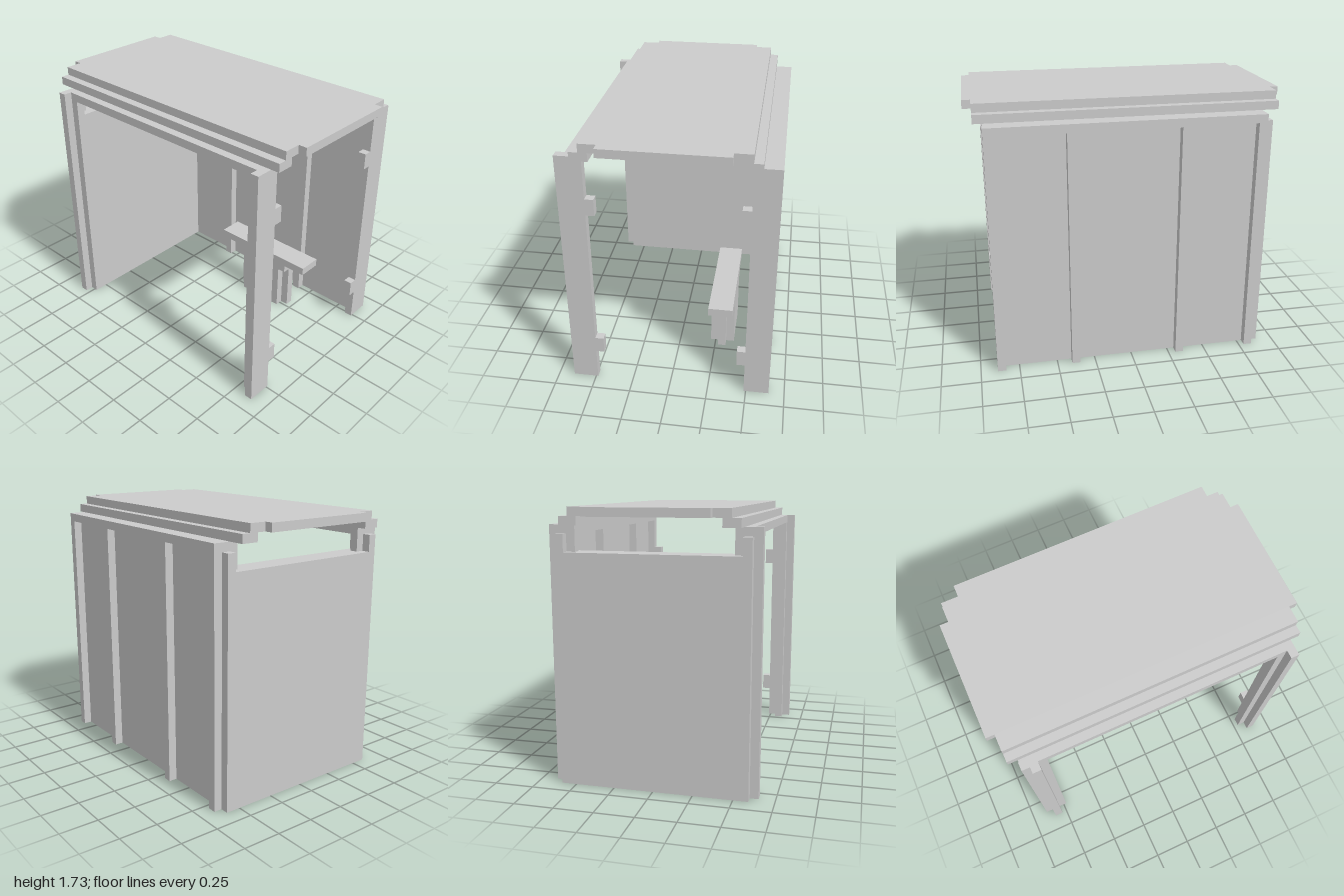
import * as THREE from 'three';

// Everything sits on a regular grid of this step
const U = 2 / 37;
const material = new THREE.MeshStandardMaterial({ color: 0xcccccc, flatShading: true });

// Box from its limits in grid steps
function block(parent, name, [x0, x1], [y0, y1], [z0, z1]) {
  const mesh = new THREE.Mesh(
    new THREE.BoxGeometry((x1 - x0) * U, (y1 - y0) * U, (z1 - z0) * U), material);
  mesh.position.set((x0 + x1) / 2 * U, (y0 + y1) / 2 * U, (z0 + z1) / 2 * U);
  mesh.name = name;
  parent.add(mesh);
}

// Upright prism over a rectangle whose four corners are notched by cx, cz
function notchedSlab(parent, name, [x0, x1], [y0, y1], [z0, z1], cx, cz) {
  const outline = [
    [x0 + cx, z0], [x1 - cx, z0], [x1 - cx, z0 + cz], [x1, z0 + cz],
    [x1, z1 - cz], [x1 - cx, z1 - cz], [x1 - cx, z1], [x0 + cx, z1],
    [x0 + cx, z1 - cz], [x0, z1 - cz], [x0, z0 + cz], [x0 + cx, z0 + cz],
  ];
  const shape = new THREE.Shape(outline.map(([x, z]) => new THREE.Vector2(x * U, -z * U)));
  const geometry = new THREE.ExtrudeGeometry(shape, { depth: (y1 - y0) * U, bevelEnabled: false });
  geometry.rotateX(-Math.PI / 2);
  geometry.translate(0, y0 * U, 0);
  const mesh = new THREE.Mesh(geometry, material);
  mesh.name = name;
  parent.add(mesh);
}

function group(parent, name) {
  const g = new THREE.Group();
  g.name = name;
  parent.add(g);
  return g;
}

export function createModel() {
  const model = new THREE.Group();
  model.name = 'shelter';

  // Roof slab with notched corners, carried by two long rails
  const roof = group(model, 'roof');
  notchedSlab(roof, 'roofSlab', [-18.5, 18.5], [31, 32], [-9, 9], 1, 2);
  block(roof, 'frontRail', [-17.5, 17.5], [30, 31], [8, 10]);
  block(roof, 'backRail', [-17.5, 17.5], [30, 31], [-10, -8]);

  // Corner posts
  const posts = group(model, 'cornerPosts');
  for (const z of [[9, 12], [-12, -9]]) {
    block(posts, 'rightPost', [-15.5, -14.5], [0, 30], z);
    block(posts, 'leftPost', [15.5, 16.5], [0, 30], z);
  }

  // Hinge tabs on the posts of the open side
  for (const y of [[4, 6], [23, 25]]) {
    block(posts, 'frontTab', [15.5, 16.5], y, [8, 9]);
    block(posts, 'backTab', [15.5, 16.5], y, [-9, -8]);
  }

  // Open front frame
  const front = group(model, 'frontFrame');
  block(front, 'frontBeam', [-14.5, 15.5], [29, 30], [9, 11]);
  block(front, 'leftJamb', [14.5, 15.5], [0, 29], [10, 11]);
  block(front, 'rightJamb', [-14.5, -13.5], [0, 29], [10, 11]);
  block(front, 'outerJamb', [-16.5, -15.5], [0, 29], [10, 11]);

  // Back wall: thin panel with beam and battens standing proud on both sides
  const back = group(model, 'backWall');
  block(back, 'backPanel', [-16.5, 15.5], [0, 29], [-11, -10]);
  block(back, 'backBeam', [-14.5, 15.5], [29, 30], [-12, -9]);
  for (const x of [-6.5, 6.5]) block(back, 'batten', [x, x + 1], [0, 29], [-12, -9]);

  // Solid side wall, lower than the roof
  block(model, 'sideWall', [-16.5, -13.5], [0, 27], [-10, 10]);

  // Bench
  const bench = group(model, 'bench');
  block(bench, 'seat', [-2.5, 11.5], [7, 8], [-7, -4]);
  block(bench, 'apron', [0.5, 8.5], [6, 7], [-7, -4]);
  notchedSlab(bench, 'base', [0.5, 8.5], [0, 6], [-7, -4], 1, 1);

  return model;
}
